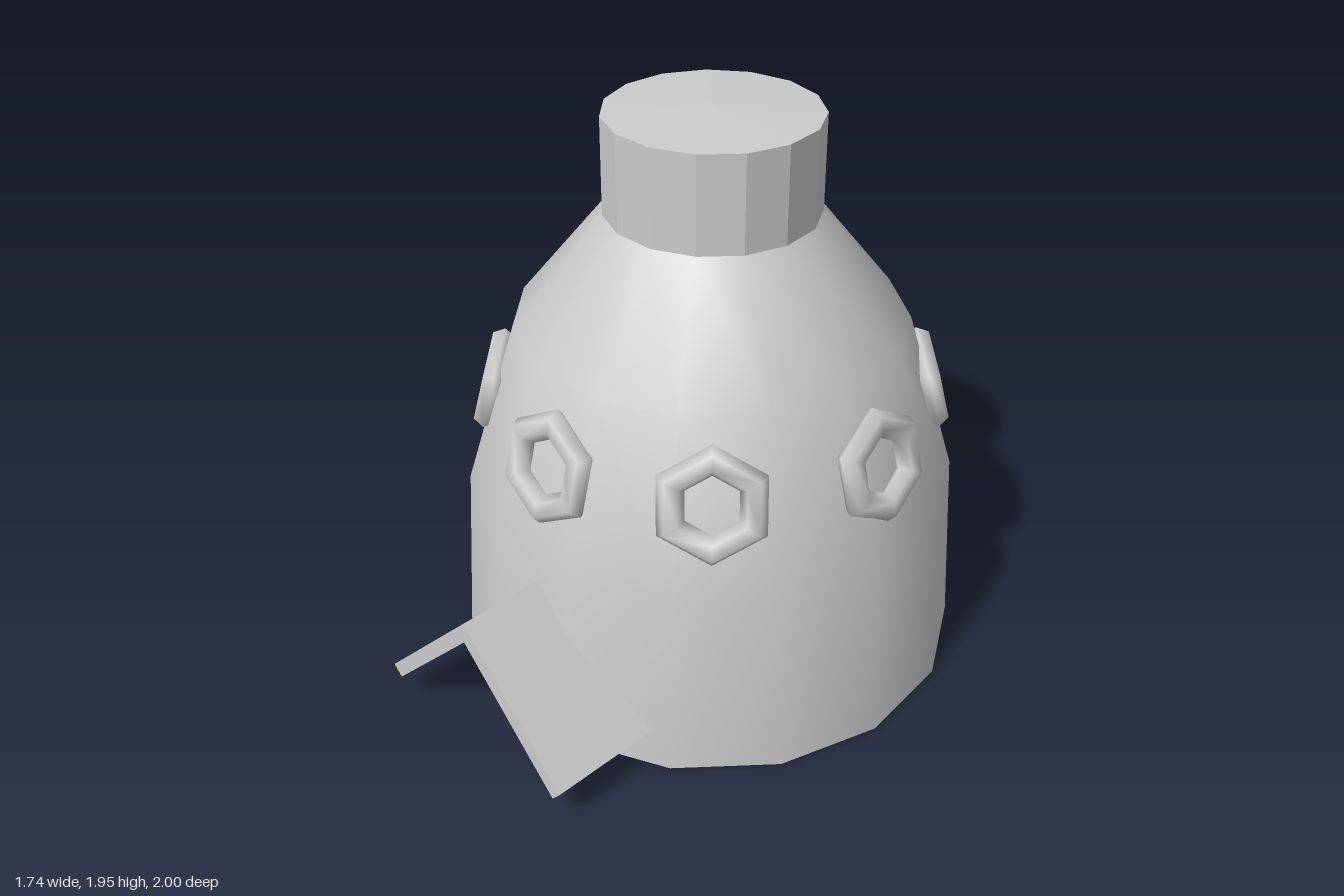
import * as THREE from 'three';

const SIDES = 15;
const AXIS_Z = -0.125;

function lathe(profile, material, name) {
  const points = profile.map(([r, y]) => new THREE.Vector2(r, y));
  // first vertex of the polygon points to the back
  const mesh = new THREE.Mesh(new THREE.LatheGeometry(points, SIDES, Math.PI), material);
  mesh.name = name;
  mesh.position.z = AXIS_Z;
  return mesh;
}

export function createModel() {
  const group = new THREE.Group();
  const smooth = new THREE.MeshStandardMaterial({ color: 0xcccccc });
  const flat = new THREE.MeshStandardMaterial({ color: 0xcccccc, flatShading: true });
  const shell = new THREE.MeshStandardMaterial({ color: 0xcccccc, side: THREE.DoubleSide });

  // Bell-shaped hollow body, open at the bottom
  group.add(lathe([[0.875, 0], [0.835, 0.65], [0.66, 1.22], [0.355, 1.6]], shell, 'body'));

  // Faceted cap with a very shallow cone on top
  group.add(lathe([[0, 1.6], [0.355, 1.6], [0.355, 1.93], [0, 1.95]], flat, 'cap'));

  // Ring of eight hexagonal portholes, leaning with the wall
  const ringGeometry = new THREE.TorusGeometry(0.146, 0.05, 6, 6);
  ringGeometry.rotateZ(Math.PI / 6);
  ringGeometry.scale(1, 1, 0.85);
  const portholes = new THREE.Group();
  portholes.name = 'portholes';
  portholes.position.z = AXIS_Z;
  [1, 44.5, 90, 136.5, 181, 220, 266, 314].forEach((degrees, i) => {
    const angle = THREE.MathUtils.degToRad(degrees);
    const ring = new THREE.Mesh(ringGeometry, smooth);
    ring.name = `porthole${i + 1}`;
    ring.position.set(0.738 * Math.sin(angle), 0.96, 0.738 * Math.cos(angle));
    ring.rotation.set(-0.25, angle, 0, 'YXZ');
    portholes.add(ring);
  });
  group.add(portholes);

  // Gabled porch roof that runs through the front wall
  const gable = new THREE.Shape([
    [-0.36, 0.105], [0.025, 0.49], [0.42, 0.1], [0.455, 0.14], [0.03, 0.568], [-0.395, 0.14],
  ].map(([x, y]) => new THREE.Vector2(x, y)));
  const porch = new THREE.Mesh(
    new THREE.ExtrudeGeometry(gable, { depth: 0.51, bevelEnabled: false }), flat);
  porch.name = 'porchRoof';
  porch.position.z = 0.49;
  group.add(porch);

  return group;
}
